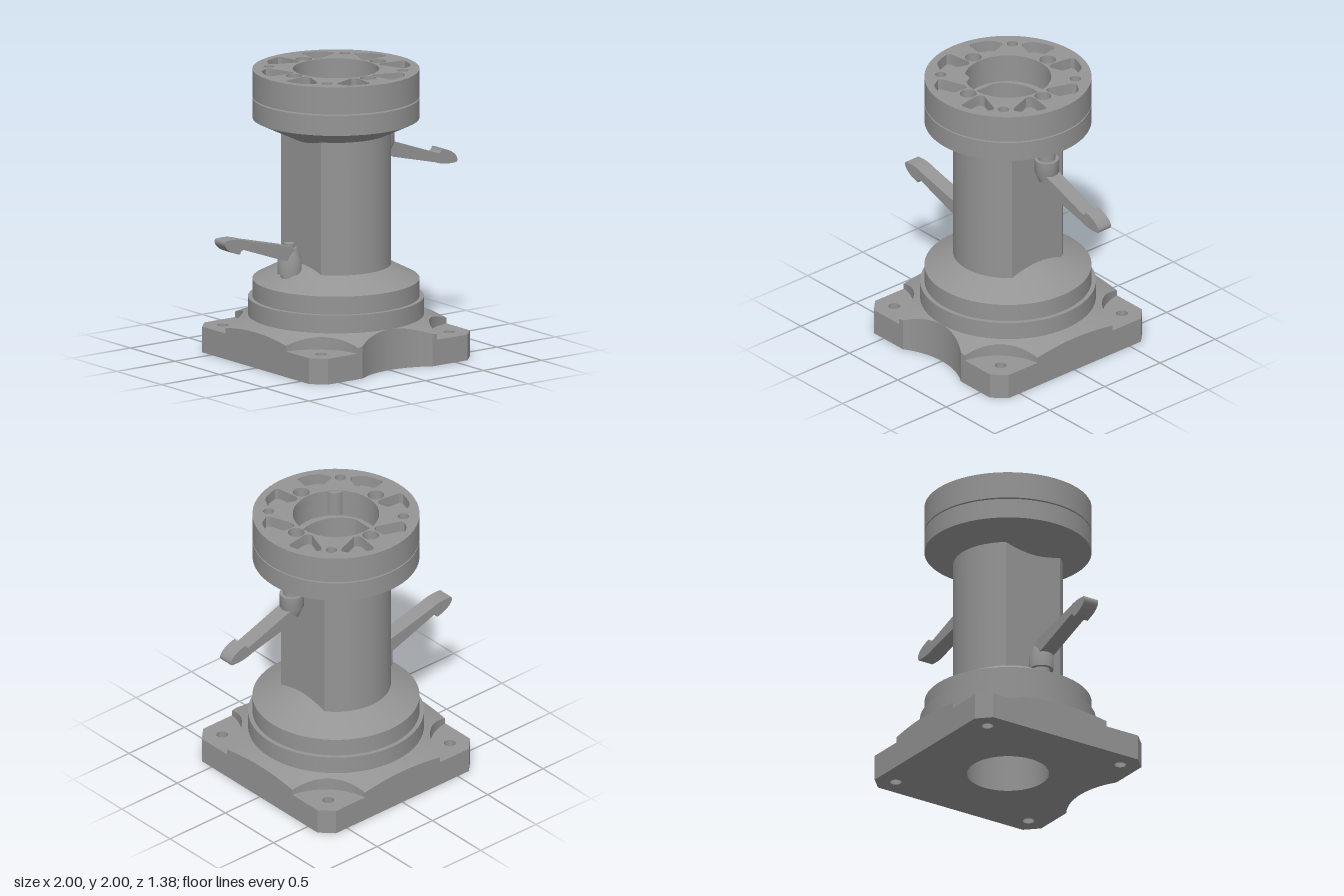
import * as THREE from 'three';
import { toCreasedNormals } from 'three/addons/utils/BufferGeometryUtils.js';

export function createModel() {
  const model = new THREE.Group();
  const metal = new THREE.MeshStandardMaterial({ color: 0x949494 });
  metal.name = 'greyMetal';

  const add = (parent, name, geometry) => {
    const mesh = new THREE.Mesh(toCreasedNormals(geometry, 0.45), metal);
    mesh.name = name;
    parent.add(mesh);
    return mesh;
  };
  // Plan shapes use (x, -z); extrusion rises from y0 to y1.
  const rise = (shape, y0, y1) => new THREE.ExtrudeGeometry(shape, { depth: y1 - y0, bevelEnabled: false, curveSegments: 32 })
    .rotateX(-Math.PI / 2).translate(0, y0, 0);
  const lathe = (points, segments = 64) =>
    new THREE.LatheGeometry(points.map(([x, y]) => new THREE.Vector2(x, y)), segments);
  const circle = (x, y, r) => new THREE.Path().absarc(x, y, r, 0, Math.PI * 2);
  const polygon = (points) => new THREE.Path(points.map(([x, y]) => new THREE.Vector2(x, y)));
  // Round outline with two flats at x = +-half.
  const flatSided = (path, rx, ry, half) => {
    const a = Math.acos(half / rx);
    path.absellipse(0, 0, rx, ry, a, Math.PI - a, false);
    path.absellipse(0, 0, rx, ry, Math.PI + a, 2 * Math.PI - a, false);
    path.closePath();
    return path;
  };
  // Scooped cut in the front edge.
  const frontScoop = (path) => {
    path.lineTo(-0.3, -0.69);
    path.absarc(0, -1.145, 0.545, Math.atan2(0.455, -0.3), Math.atan2(0.455, 0.3), true);
  };

  // Base plate with chamfered corners and bolt holes
  const plate = new THREE.Shape();
  plate.moveTo(-0.6, -0.69);
  frontScoop(plate);
  [[0.6, -0.69], [0.69, -0.6], [0.69, 0.6], [0.6, 0.69], [-0.6, 0.69], [-0.69, 0.6], [-0.69, -0.6]]
    .forEach(([x, y]) => plate.lineTo(x, y));
  plate.closePath();
  plate.holes.push(circle(0, 0, 0.28));
  for (const sx of [-1, 1]) for (const sy of [-1, 1]) plate.holes.push(circle(sx * 0.55, sy * 0.55, 0.04));
  add(model, 'basePlate', rise(plate, 0, 0.18));

  // Conical top of the base, cut back around each bolt hole
  const outline = new THREE.Shape();
  const e = Math.atan2(0.05, 0.4);
  const corners = [[1, 1], [-1, 1], [-1, -1], [1, -1]];
  outline.moveTo(0.69, -0.34);
  corners.forEach(([sx, sy], k) => {
    if (k === 3) frontScoop(outline);
    const turn = k * Math.PI / 2;
    outline.absarc(sx * 0.74, sy * 0.74, 0.403, turn - Math.PI / 2 - e, turn - Math.PI + e, true);
  });
  // Subdivide the edges so the slope follows the cone
  const raw = outline.getPoints(16);
  const loop = [];
  raw.forEach((p, i) => {
    const q = raw[(i + 1) % raw.length];
    const steps = Math.ceil(p.distanceTo(q) / 0.04);
    for (let s = 0; s < steps; s++) loop.push(p.clone().lerp(q, s / steps));
  });
  const rows = loop.map((p) => {
    const r = Math.max(p.length(), 0.6);
    return [
      [p.x, 0.18, -p.y],
      [p.x, 0.285 - 0.39 * (r - 0.6), -p.y],
      [p.x * 0.595 / r, 0.287, -p.y * 0.595 / r],
    ];
  });
  const positions = [];
  rows.forEach((a, i) => {
    const b = rows[(i + 1) % rows.length];
    for (let j = 0; j < 2; j++) {
      positions.push(...a[j], ...b[j], ...b[j + 1], ...a[j], ...b[j + 1], ...a[j + 1]);
    }
  });
  const slope = new THREE.BufferGeometry();
  slope.setAttribute('position', new THREE.Float32BufferAttribute(positions, 3));
  add(model, 'baseSlope', slope);

  // Lower collar
  add(model, 'lowerCollar', lathe([[0.6, 0.18], [0.6, 0.41], [0.57, 0.41], [0.57, 0.535],
    [0.29, 0.682], [0.28, 0.68], [0.28, 0.18]]));

  // Hollow column with flat sides
  const column = flatSided(new THREE.Shape(), 0.375, 0.375, 0.3);
  column.holes.push(flatSided(new THREE.Path(), 0.28, 0.25, 0.26));
  add(model, 'column', rise(column, 0.3, 1.8));

  // Upper collar, groove and lower half of the flange
  add(model, 'upperCollar', lathe([[0.29, 1.525], [0.57, 1.66], [0.57, 1.8], [0.45, 1.8], [0.45, 1.81],
    [0.57, 1.81], [0.57, 1.92], [0.295, 1.92], [0.295, 1.75], [0.29, 1.525]]));

  // Flange face with pockets and holes
  const flange = new THREE.Shape();
  flange.absarc(0, 0, 0.57, 0, Math.PI * 2);
  flange.holes.push(circle(0, 0, 0.295));
  const pocket = [[0.11, 0.508], [0.087, 0.495], [0.064, 0.345], [0.07, 0.315], [0.10, 0.302],
    [0.265, 0.36], [0.283, 0.385], [0.25, 0.445], [0.225, 0.468], [0.17, 0.492]];
  for (const [sx, sy] of corners) {
    flange.holes.push(polygon(pocket.map(([x, y]) => [sx * x, sy * y])));
    flange.holes.push(polygon(pocket.map(([x, y]) => [sx * y, sy * x])));
    flange.holes.push(circle(sx * 0.325, sy * 0.325, 0.038));
  }
  for (const [x, y] of [[1, 0], [0, 1], [-1, 0], [0, -1]]) flange.holes.push(circle(x * 0.36, y * 0.36, 0.057));
  add(model, 'flangeFace', rise(flange, 1.92, 2));

  // Locating boss at the bore edge
  add(model, 'locatingBoss', new THREE.CylinderGeometry(0.065, 0.065, 0.18, 32).translate(-0.21, 1.905, 0.255));
  add(model, 'locatingPin', new THREE.CylinderGeometry(0.03, 0.03, 0.1, 24).translate(-0.21, 1.949, 0.255));

  // Clamping levers, the lower one turned half a revolution
  const makeLever = (name) => {
    const lever = new THREE.Group();
    lever.name = name;
    add(lever, 'leverHub', lathe([[0, 1.32], [0.035, 1.32], [0.035, 1.35], [0.05, 1.35], [0.083, 1.43],
      [0.083, 1.53], [0.06, 1.53], [0.06, 1.59], [0, 1.59]], 32).translate(0.4, 0, 0));
    const arm = new THREE.Shape();
    arm.moveTo(0.4, 1.35);
    arm.lineTo(0.45, 1.328);
    arm.lineTo(0.81, 1.238);
    arm.quadraticCurveTo(0.87, 1.215, 0.93, 1.213);
    arm.lineTo(0.99, 1.215);
    arm.quadraticCurveTo(1.005, 1.225, 0.995, 1.25);
    arm.quadraticCurveTo(0.97, 1.3, 0.868, 1.325);
    arm.quadraticCurveTo(0.86, 1.293, 0.835, 1.297);
    arm.lineTo(0.48, 1.425);
    arm.lineTo(0.4, 1.44);
    arm.closePath();
    add(lever, 'leverArm', new THREE.ExtrudeGeometry(arm, { depth: 0.114, bevelEnabled: false, curveSegments: 8 })
      .translate(0, 0, -0.057));
    model.add(lever);
    return lever;
  };
  makeLever('upperLever');
  const lower = makeLever('lowerLever');
  lower.rotation.z = Math.PI;
  lower.position.y = 2.155;

  return model;
}
